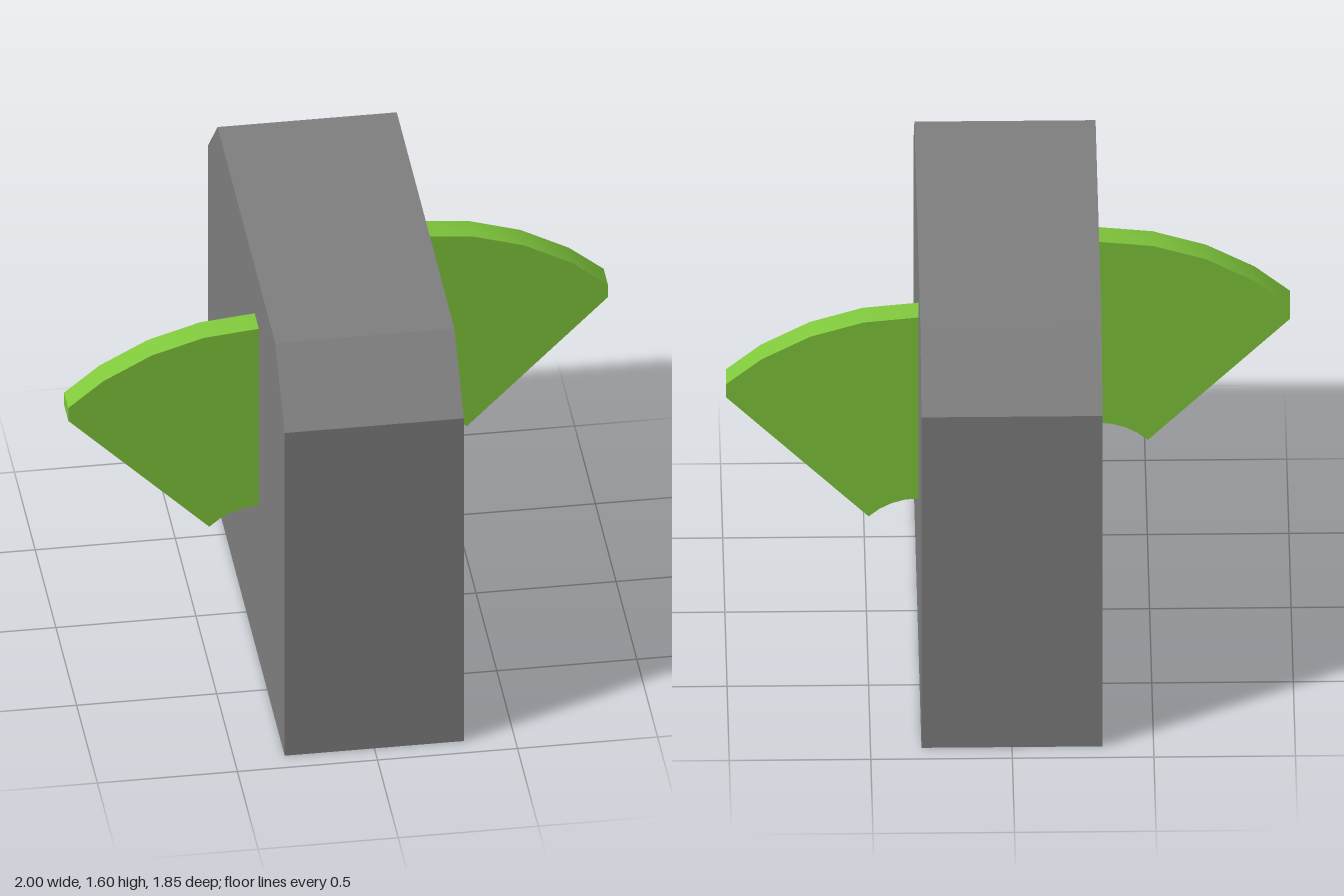
import * as THREE from 'three';
import { toCreasedNormals } from 'three/addons/utils/BufferGeometryUtils.js';

const HALF_W = 0.32, HALF_L = 0.925, HEIGHT = 1.6, CHAMFER = 0.23;

// Chamfered housing, hollow and open underneath
function housingGeometry() {
  const top = HEIGHT - CHAMFER, inner = HALF_L - CHAMFER;
  const profile = new THREE.Shape([
    [-HALF_L, 0], [HALF_L, 0], [HALF_L, top], [inner, HEIGHT], [-inner, HEIGHT], [-HALF_L, top],
  ].map(([x, y]) => new THREE.Vector2(x, y)));
  const solid = new THREE.ExtrudeGeometry(profile, { depth: HALF_W * 2, bevelEnabled: false });
  solid.translate(0, 0, -HALF_W).rotateY(Math.PI / 2);

  // Drop the bottom face
  const pos = solid.attributes.position.array, nor = solid.attributes.normal.array;
  const kept = [];
  for (let i = 0; i < pos.length; i += 9) {
    if (nor[i + 1] > -0.9) kept.push(...pos.slice(i, i + 9));
  }
  const shell = new THREE.BufferGeometry();
  shell.setAttribute('position', new THREE.Float32BufferAttribute(kept, 3));
  shell.computeVertexNormals();
  return shell;
}

// Ring sector with its outer tip cut off upright at x = 1
function finGeometry() {
  const cx = HALF_W, cy = 0.4, step = Math.PI / 16;
  const at = (r, a) => new THREE.Vector2(cx + r * Math.sin(a), cy + r * Math.cos(a));
  const points = [];
  for (let i = 0; i <= 4; i++) points.push(at(0.25, i * step));
  points.push(new THREE.Vector2(1, 1.075), new THREE.Vector2(1, 1.13));
  for (let i = 3; i >= 0; i--) points.push(at(1, i * step));
  const fin = new THREE.ExtrudeGeometry(new THREE.Shape(points), { depth: 0.1, bevelEnabled: false });
  fin.translate(0, 0, -0.3);
  return toCreasedNormals(fin, 0.45);
}

export function createModel() {
  const model = new THREE.Group();
  model.name = 'model';
  const grey = new THREE.MeshStandardMaterial({ color: 0x808080, side: THREE.DoubleSide });
  grey.name = 'housingGrey';
  const green = new THREE.MeshStandardMaterial({ color: 0x80c83c });
  green.name = 'finGreen';

  const housing = new THREE.Mesh(housingGeometry(), grey);
  housing.name = 'housing';
  model.add(housing);

  // Two fins, each the other turned half way round
  const finShape = finGeometry();
  ['leftFin', 'rightFin'].forEach((name, i) => {
    const fin = new THREE.Mesh(finShape, green);
    fin.name = name;
    fin.rotation.y = i * Math.PI;
    model.add(fin);
  });
  return model;
}
